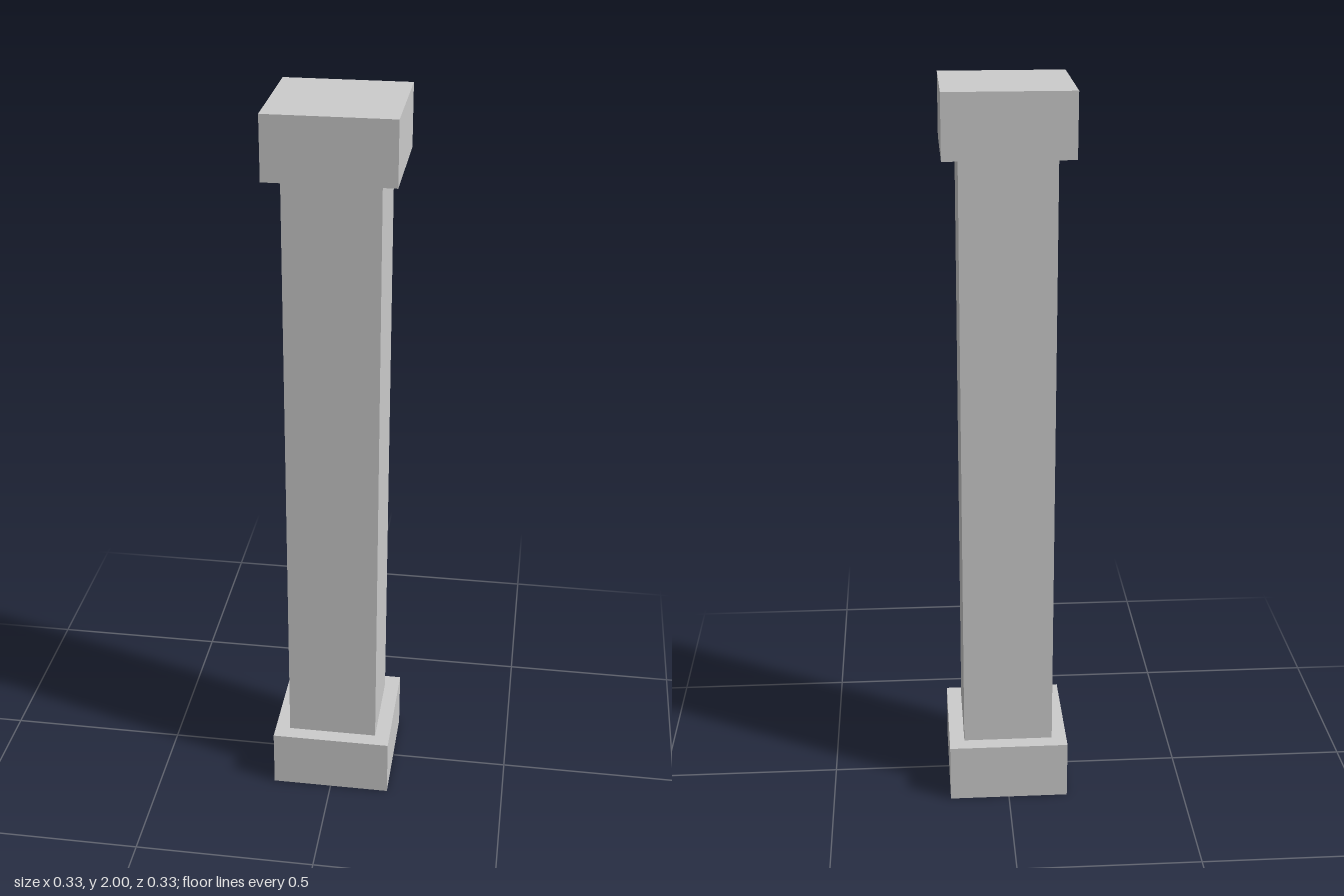
import * as THREE from 'three';

const HEIGHT = 2;
const BLOCK_WIDTH = 1 / 3;
const BLOCK_HEIGHT = 1 / 6;
const SHAFT_WIDTH = 0.25;

export function createModel() {
  const pillar = new THREE.Group();
  pillar.name = 'pillar';
  const material = new THREE.MeshStandardMaterial({ color: 0xcccccc, flatShading: true });

  // Adds a square block standing on the height y
  const addBlock = (name, width, height, y) => {
    const mesh = new THREE.Mesh(new THREE.BoxGeometry(width, height, width), material);
    mesh.name = name;
    mesh.position.y = y + height / 2;
    pillar.add(mesh);
  };

  addBlock('base', BLOCK_WIDTH, BLOCK_HEIGHT, 0);
  addBlock('shaft', SHAFT_WIDTH, HEIGHT - 2 * BLOCK_HEIGHT, BLOCK_HEIGHT);
  addBlock('capital', BLOCK_WIDTH, BLOCK_HEIGHT, HEIGHT - BLOCK_HEIGHT);

  return pillar;
}
